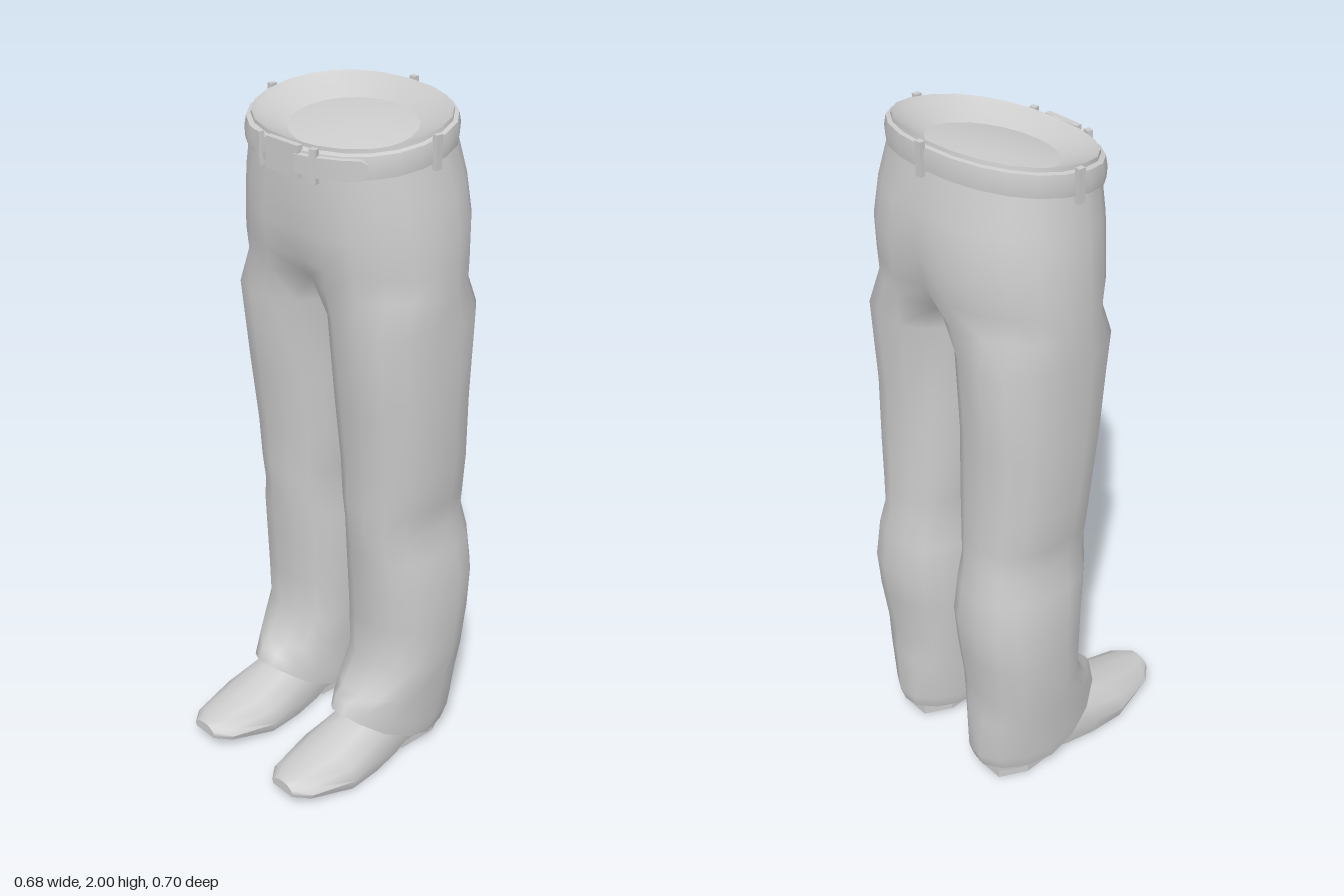
import * as THREE from 'three';
import { mergeVertices, mergeGeometries, toCreasedNormals } from 'three/addons/utils/BufferGeometryUtils.js';

const material = new THREE.MeshStandardMaterial({ color: 0xcccccc, side: THREE.DoubleSide });
const lerp = THREE.MathUtils.lerp;
const rad = THREE.MathUtils.degToRad;
const spow = (v, p) => Math.sign(v) * Math.abs(v) ** p;

// Skin a list of equal-length rings of [x, y, z]; faces lying wholly in x = 0 may be dropped.
function loft(rings, { caps = false, dropMiddle = false } = {}) {
  if (caps) {
    const middle = (ring) => {
      const c = [0, 1, 2].map((j) => ring.reduce((s, p) => s + p[j], 0) / ring.length);
      return ring.map(() => c);
    };
    rings = [middle(rings[0]), ...rings, middle(rings[rings.length - 1])];
  }
  const n = rings[0].length;
  const points = rings.flat();
  const index = [];
  const add = (...tri) => {
    if (dropMiddle && tri.every((i) => Math.abs(points[i][0]) < 1e-5)) return;
    index.push(...tri);
  };
  for (let i = 0; i < rings.length - 1; i++) {
    for (let k = 0; k < n; k++) {
      const a = i * n + k, b = i * n + (k + 1) % n;
      if (!(caps && i === 0)) add(a, a + n, b);
      else add(a, a + n, b + n);
      if (!(caps && (i === 0 || i === rings.length - 2))) add(b, a + n, b + n);
    }
  }
  const g = new THREE.BufferGeometry();
  g.setAttribute('position', new THREE.Float32BufferAttribute(points.flat(), 3));
  g.setIndex(index);
  return g;
}

function mesh(name, geometry, parent) {
  const m = new THREE.Mesh(geometry, material);
  m.name = name;
  parent.add(m);
  return m;
}

// The waist is an oval that rises toward the back.
const tiltY = (y, z, s = 1) => y - 0.155 * s * (z + 0.08);
function waistPoint(a, y, grow = 0) {
  const z = -0.08 + (0.215 + grow) * spow(Math.sin(a), 0.9);
  return [(0.286 + grow) * spow(Math.cos(a), 0.9), tiltY(y, z), z];
}
const waistRing = (y, grow) =>
  Array.from({ length: 22 }, (_, k) => waistPoint(Math.PI / 2 - Math.PI * k / 11, y, grow));

// Trouser levels: y, inner x, outer x, front z, back z, waist tilt, centre dip
const hips = [
  [1.967, 0, 0.286, 0.135, -0.295, 1, 0],
  [1.9, 0, 0.296, 0.138, -0.305, 1, 0],
  [1.8, 0, 0.32, 0.14, -0.332, 0.6, 0.02],
  [1.7, 0, 0.333, 0.138, -0.348, 0.3, 0.06],
  [1.61, 0, 0.341, 0.132, -0.338, 0, 0.1],
  [1.54, 0, 0.342, 0.12, -0.33, 0, 0.26],
];
const legs = [
  [1.45, 0.01, 0.343, 0.105, -0.32],
  [1.2, 0.012, 0.34, 0.075, -0.305],
  [1.0, 0.018, 0.332, 0.052, -0.31],
  [0.88, 0.028, 0.318, 0.05, -0.316],
  [0.8, 0.038, 0.306, 0.045, -0.322],
  [0.72, 0.028, 0.328, 0.036, -0.336],
  [0.6, 0.02, 0.34, 0.024, -0.35],
  [0.48, 0.022, 0.341, 0.016, -0.338],
  [0.34, 0.026, 0.336, 0.012, -0.318],
  [0.25, 0.035, 0.322, 0.068, -0.324],
];

// Half a hip section: outer curve, then back along the middle plane.
function hipRing([y, , xo, zf, zb, tilt, dip]) {
  const zc = (zf + zb) / 2, hz = (zf - zb) / 2;
  const zAt = (a) => zc + hz * spow(Math.sin(a), 0.9);
  return Array.from({ length: 16 }, (_, k) => {
    const a = Math.PI / 2 - Math.PI * k / 11;
    let x = k < 11 && k > 0 ? xo * spow(Math.cos(a), 0.9) : 0;
    let z = zAt(a);
    if (k === 0 || k === 11) z = zc + (z - zc) * (1 - dip);
    if (k > 11) z = zc + hz * (1 - dip) * lerp(-1, 1, (k - 11) / 5);
    return [x, tiltY(y, z, tilt), z];
  });
}

function legRing([y, xi, xo, zf, zb], p = 0.85, yAt = () => y) {
  return Array.from({ length: 16 }, (_, k) => {
    const a = rad(k <= 11 ? lerp(130, -130, k / 11) : lerp(-130, -230, (k - 11) / 5));
    const x = (xi + xo) / 2 + (xo - xi) / 2 * spow(Math.cos(a), p);
    const z = (zf + zb) / 2 + (zf - zb) / 2 * spow(Math.sin(a), p);
    return [x, yAt(z), z];
  });
}

// The hem climbs over the instep at the front.
function hemY(z) {
  if (z < -0.15) return 0.05;
  return z < 0 ? lerp(0.05, 0.105, (z + 0.15) / 0.15) : lerp(0.105, 0.2, z / 0.125);
}

function trousersGeometry() {
  const hem = legRing([0, 0.042, 0.304, 0.125, -0.315], 1.05, hemY);
  const calf = legRing([0, 0.034, 0.312, 0.105, -0.33], 1, (z) => hemY(z) + 0.05);
  const half = loft([...hips.map(hipRing), ...legs.map((l) => legRing(l)), calf, hem], { dropMiddle: true });
  const other = half.clone().scale(-1, 1, 1);
  other.index.array.reverse();
  const g = mergeVertices(mergeGeometries([half, other]), 1e-4);
  g.computeVertexNormals();
  return g;
}

// Closed lining inside the waist: sloping band and shallow floor
function liningGeometry() {
  const oval = (s, y) => Array.from({ length: 22 }, (_, k) => {
    const a = Math.PI / 2 - Math.PI * k / 11;
    const z = -0.088 + 0.152 * s * Math.sin(a);
    return [0.19 * s * Math.cos(a), tiltY(y, z), z];
  });
  return toCreasedNormals(loft([
    oval(0, 1.935), oval(0.5, 1.933), oval(1, 1.922), waistRing(1.958, -0.012), waistRing(1.967, 0),
  ]), 0.5);
}

// Shoe sections: z, half width, bottom y, top y
const shoeSections = [
  [0.355, 0.045, 0.045, 0.08],
  [0.31, 0.085, 0.034, 0.092],
  [0.17, 0.12, 0.006, 0.128],
  [0.06, 0.112, 0.003, 0.172],
  [-0.04, 0.095, 0.008, 0.2],
  [-0.08, 0.092, 0.025, 0.22],
  [-0.22, 0.088, 0.025, 0.22],
  [-0.285, 0.05, 0.03, 0.2],
];
const shoeOutline = [[1, 0.3], [0.85, 0.62], [0.5, 0.9], [0, 1], [-0.5, 0.9], [-0.85, 0.62], [-1, 0.3], [-0.9, 0], [0.9, 0]];
const heelOutline = [[-0.078, -0.07], [0.078, -0.07], [0.085, -0.2], [0.045, -0.282], [-0.045, -0.282], [-0.085, -0.2]];

function makeShoe(side) {
  const shoe = new THREE.Group();
  shoe.name = side > 0 ? 'leftShoe' : 'rightShoe';
  const upper = loft(shoeSections.map(([z, w, yb, yt]) =>
    shoeOutline.map(([u, v]) => [u * w, lerp(yb, yt, v), z])), { caps: true });
  mesh('shoeUpper', toCreasedNormals(upper, 0.8), shoe);
  const heel = loft([0.05, 0].map((y) => heelOutline.map(([x, z]) => [x, y, z])), { caps: true });
  mesh('shoeHeel', toCreasedNormals(heel, 0.5), shoe);
  shoe.position.x = side * 0.179;
  return shoe;
}

function makeBelt() {
  const belt = new THREE.Group();
  belt.name = 'belt';
  const band = loft([waistRing(1.957, 0), waistRing(1.953, 0.013), waistRing(1.925, 0.018), waistRing(1.895, 0.016), waistRing(1.89, 0)]);
  mesh('beltBand', toCreasedNormals(band, 0.7), belt);
  mesh('buckle', new THREE.BoxGeometry(0.118, 0.085, 0.018), belt).position.set(-0.005, 1.889, 0.147);

  // Loose strap end lying over the band
  const strap = [[84, 0.024], [72, 0.026], [58, 0.027], [47, 0.026], [43, 0.014]].map(([deg, h]) => {
    const a = rad(deg);
    return [waistPoint(a, 1.923 - h, 0.026), waistPoint(a, 1.923 + h, 0.026),
      waistPoint(a, 1.923 + h, 0.012), waistPoint(a, 1.923 - h, 0.012)];
  });
  mesh('strapEnd', toCreasedNormals(loft(strap, { caps: true }), 0.7), belt);

  for (const deg of [73, 107, 0, 180, -90]) {
    const a = rad(deg);
    const loop = mesh('beltLoop', new THREE.BoxGeometry(0.02, 0.09, 0.016), belt);
    loop.position.set(...waistPoint(a, 1.923, 0.018));
    loop.rotation.y = Math.atan2(Math.cos(a) * 0.22, Math.sin(a) * 0.29);
  }
  return belt;
}

export function createModel() {
  const model = new THREE.Group();
  model.name = 'trousersWithShoes';
  mesh('trousers', trousersGeometry(), model);
  mesh('waistLining', liningGeometry(), model);
  model.add(makeBelt(), makeShoe(1), makeShoe(-1));
  return model;
}
